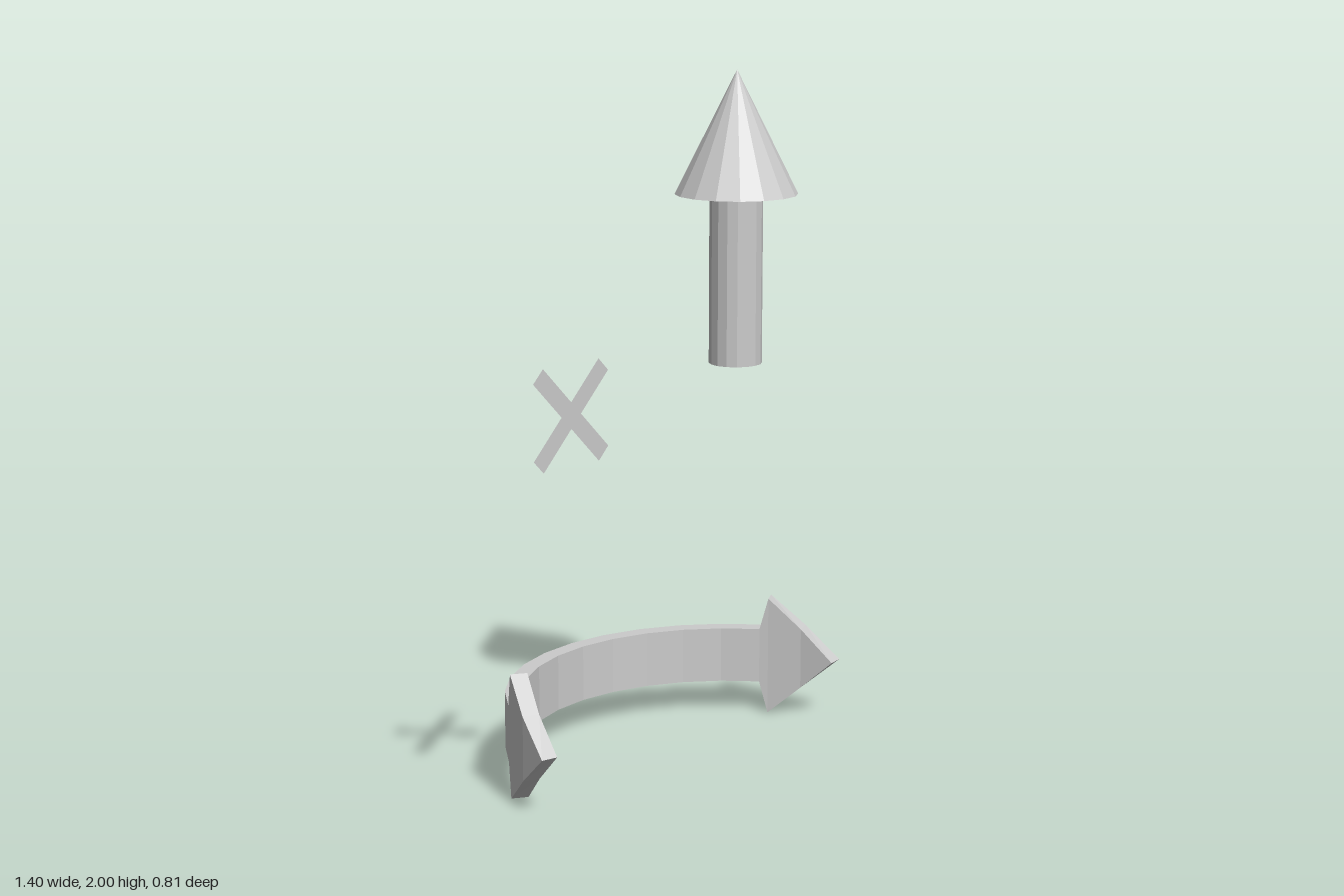
import * as THREE from 'three';

const AXIS_X = 0.07, AXIS_Z = 0.235; // shared axis of the straight and curved arrows

function material(options = {}) {
  return new THREE.MeshStandardMaterial({ color: 0xcccccc, flatShading: true, ...options });
}

function addMesh(parent, name, geometry, mat, x, y, z) {
  const mesh = new THREE.Mesh(geometry, mat);
  mesh.name = name;
  mesh.position.set(x, y, z);
  parent.add(mesh);
  return mesh;
}

// Curved band with an arrowhead at each end, swept through rectangular sections.
function curvedArrowGeometry() {
  const inner = 0.594, outer = 0.643;
  // Half of the band and one head: [degrees from the back, half height]
  const head = [[58.8, 0.18], [68.65, 0.092], [78.5, 0]];
  const stations = head.map(([a, h]) => [-a, h]).reverse();
  for (let i = -5; i <= 5; i++) stations.push([i * 11.25, 0.083]);
  stations.push(...head);

  const positions = [], index = [];
  stations.forEach(([degrees, h], i) => {
    const t = THREE.MathUtils.degToRad(degrees);
    for (const [r, y] of [[outer, h], [outer, -h], [inner, -h], [inner, h]]) {
      positions.push(r * Math.sin(t), y, -r * Math.cos(t));
    }
    if (i === 0) return;
    for (let k = 0; k < 4; k++) {
      const a = (i - 1) * 4 + k, b = (i - 1) * 4 + (k + 1) % 4;
      index.push(a, a + 4, b, b, a + 4, b + 4);
    }
  });
  const indexed = new THREE.BufferGeometry();
  indexed.setAttribute('position', new THREE.Float32BufferAttribute(positions, 3));
  indexed.setIndex(index);
  const geometry = indexed.toNonIndexed();
  geometry.computeVertexNormals();
  return geometry;
}

// Flat plus-shaped outline, turned into a diagonal cross by the caller.
function crossGeometry() {
  const w = 0.025, l = 0.168;
  const shape = new THREE.Shape();
  for (let i = 0; i < 4; i++) {
    const c = Math.round(Math.cos(i * Math.PI / 2)), s = Math.round(Math.sin(i * Math.PI / 2));
    for (const [x, y] of [[l, -w], [l, w], [w, w]]) {
      const px = x * c - y * s, py = x * s + y * c;
      if (shape.curves.length || i || y < 0 === false) shape.lineTo(px, py);
      else shape.moveTo(px, py);
    }
  }
  shape.closePath();
  return new THREE.ShapeGeometry(shape);
}

export function createModel() {
  const model = new THREE.Group();
  model.name = 'arrowMarkers';

  // Upright arrow: shaft and cone
  const upArrow = new THREE.Group();
  upArrow.name = 'upArrow';
  upArrow.position.set(AXIS_X, 0, AXIS_Z);
  model.add(upArrow);
  addMesh(upArrow, 'shaft', new THREE.CylinderGeometry(0.073, 0.073, 0.465, 16), material(), 0, 1.4325, 0);
  addMesh(upArrow, 'arrowhead', new THREE.ConeGeometry(0.168, 0.335, 16), material(), 0, 1.8325, 0);

  // Two-headed curved arrow around the same axis
  addMesh(model, 'curvedArrow', curvedArrowGeometry(), material(), AXIS_X, 0.18, AXIS_Z);

  // Paper-thin cross mark
  const cross = addMesh(model, 'crossMark', crossGeometry(),
    material({ side: THREE.DoubleSide }), -0.568, 1.15, AXIS_Z);
  cross.rotation.z = Math.PI / 4;

  return model;
}
